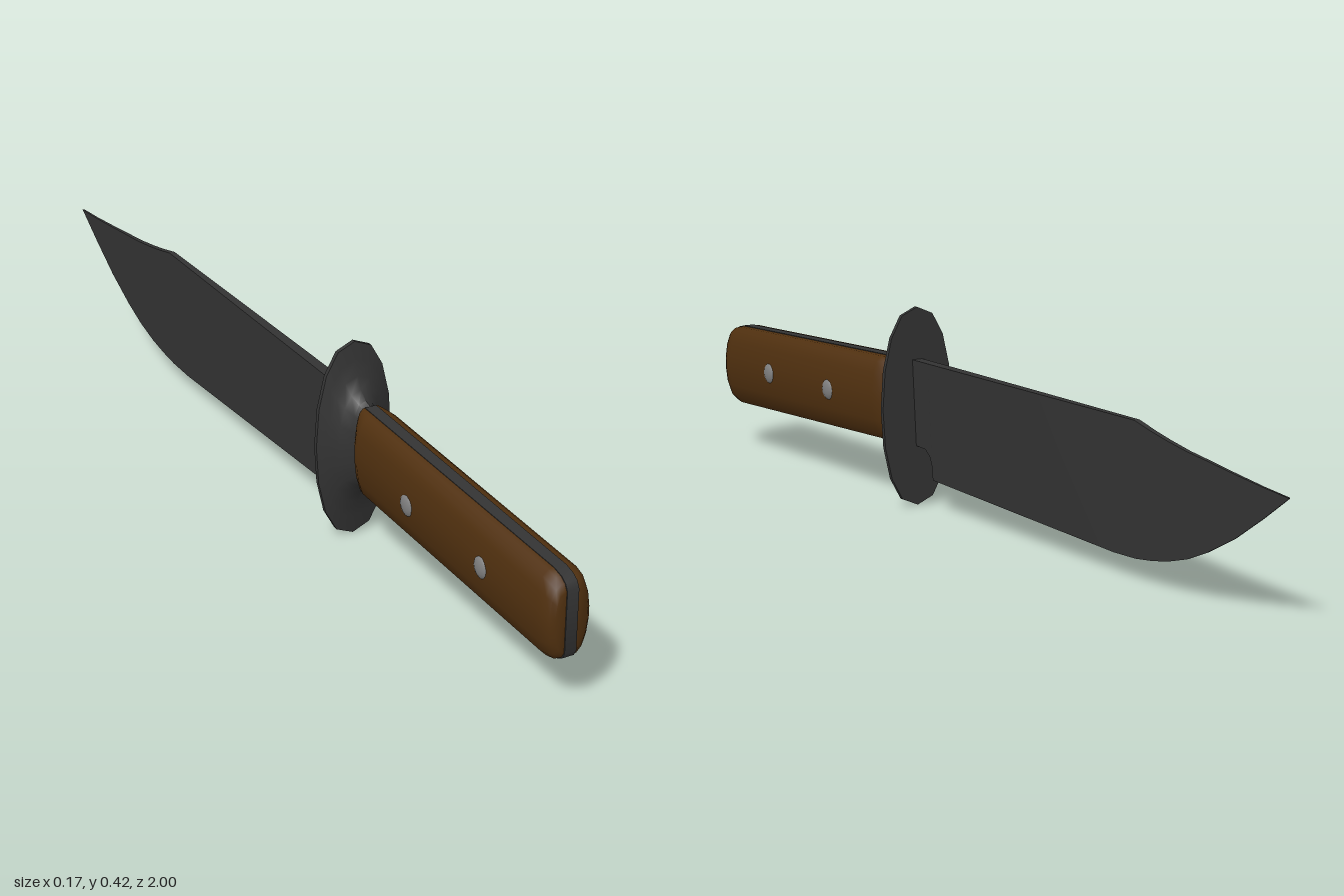
import * as THREE from 'three';
import { toCreasedNormals } from 'three/addons/utils/BufferGeometryUtils.js';

const steel = new THREE.MeshStandardMaterial({ color: 0x333333 });
steel.name = 'dark steel';
const wood = new THREE.MeshStandardMaterial({ color: 0x50300f });
wood.name = 'brown wood';
const rivetMetal = new THREE.MeshStandardMaterial({ color: 0x808080 });
rivetMetal.name = 'rivet grey';

// Skin counterclockwise [x, y] rings placed at increasing z, with both ends capped
function loft(sections, crease) {
  const pos = [], idx = [], n = sections[0].ring.length;
  for (const { z, ring } of sections) for (const [x, y] of ring) pos.push(x, y, z);
  for (let s = 0; s < sections.length - 1; s++) {
    for (let i = 0; i < n; i++) {
      const a = s * n + i, b = s * n + (i + 1) % n;
      idx.push(a, b, b + n, a, b + n, a + n);
    }
  }
  const last = (sections.length - 1) * n;
  for (let i = 1; i < n - 1; i++) {
    idx.push(0, i + 1, i);
    idx.push(last, last + i, last + i + 1);
  }
  const g = new THREE.BufferGeometry();
  g.setAttribute('position', new THREE.Float32BufferAttribute(pos, 3));
  g.setIndex(idx);
  return toCreasedNormals(g, crease);
}

function add(group, name, geometry, material) {
  const m = new THREE.Mesh(geometry, material);
  m.name = name;
  group.add(m);
  return m;
}

// Blade stations: z, spine height, edge height
const bladeStations = [
  [-1, 0.251, 0.249], [-0.93, 0.257, 0.199], [-0.85, 0.266, 0.146], [-0.77, 0.276, 0.104],
  [-0.71, 0.283, 0.079], [-0.65, 0.293, 0.062], [-0.6, 0.303, 0.053], [-0.55, 0.315, 0.047],
  [-0.48, 0.315, 0.045], [-0.2, 0.315, 0.054], [0.164, 0.315, 0.066], [0.166, 0.315, 0.095],
  [0.174, 0.315, 0.116], [0.19, 0.315, 0.128], [0.23, 0.315, 0.13],
];

// Handle outline: top and bottom fall toward the butt, with rounded corners
const topAt = z => 0.311 - (z - 0.3) * 0.04;
const bottomAt = z => 0.13 - (z - 0.3) * 0.036;
// Stations: z, width factor, corner inset
const handleStations = [
  [0.295, 0.68, 0], [0.31, 0.86, 0], [0.33, 1, 0], [0.955, 1, 0],
  [0.978, 0.95, 0.005], [0.991, 0.85, 0.013], [0.998, 0.7, 0.026],
];

export function createModel() {
  const knife = new THREE.Group();
  knife.name = 'knife';

  // Wedge-shaped blade, thinning toward its edge and tip
  add(knife, 'blade', loft(bladeStations.map(([z, top, bottom]) => {
    const t = 0.002 + 0.010 * Math.min(1, (z + 1) / 1.1);
    const e = z > 0.165 ? t * Math.max(0.1, (bottom - 0.06) / 0.255) : 0.001;
    return { z, ring: [[-t, top], [-e, bottom], [e, bottom], [t, top]] };
  }), 0.3), steel);

  // Flared oval guard: z, half width, half height, centre height
  const guard = [
    [0.225, 0.085, 0.212, 0.214], [0.234, 0.085, 0.212, 0.214], [0.24, 0.077, 0.175, 0.215],
    [0.248, 0.064, 0.14, 0.217], [0.26, 0.048, 0.113, 0.219], [0.278, 0.033, 0.096, 0.22],
    [0.302, 0.028, 0.09, 0.22],
  ];
  add(knife, 'guard', loft(guard.map(([z, w, h, c]) => {
    const ring = [];
    for (let i = 0; i < 16; i++) {
      const a = i / 16 * Math.PI * 2, k = Math.cos(a);
      ring.push([w * Math.sign(k) * Math.abs(k) ** 0.85, c + h * Math.sin(a)]);
    }
    return { z, ring };
  }), 0.8), steel);

  // Flat tang running through the handle
  add(knife, 'tang', loft(handleStations.map(([z, , inset]) => {
    const t = topAt(z) - inset + 0.001, b = bottomAt(z) + inset - 0.001, x = 0.0125;
    return { z: z + 0.002, ring: [[-x, t], [-x, b], [x, b], [x, t]] };
  }), 0.6), steel);

  // Rounded wooden scales and their rivets, one set on each side
  const halfProfile = [
    [0.008, 0], [0.022, 0.005], [0.035, 0.08], [0.045, 0.24], [0.05, 0.45],
    [0.05, 0.6], [0.045, 0.8], [0.036, 0.94], [0.024, 0.995], [0.008, 1],
  ];
  for (const side of [1, -1]) {
    const label = side > 0 ? 'left' : 'right';
    add(knife, label + 'HandleScale', loft(handleStations.map(([z, w, inset]) => {
      const b = bottomAt(z) + inset, h = topAt(z) - inset - b;
      const ring = halfProfile.map(([x, v]) => [side * (x > 0.01 ? Math.max(0.014, x * w) : x), b + v * h]);
      return { z, ring: side > 0 ? ring : ring.reverse() };
    }), 0.9), wood);

    [[0.515, 0.21], [0.775, 0.205]].forEach(([z, y], i) => {
      const rivet = add(knife, label + 'Rivet' + (i + 1), new THREE.SphereGeometry(0.023, 14, 8), rivetMetal);
      rivet.scale.x = 0.4;
      rivet.position.set(side * 0.0465, y, z);
    });
  }
  return knife;
}
